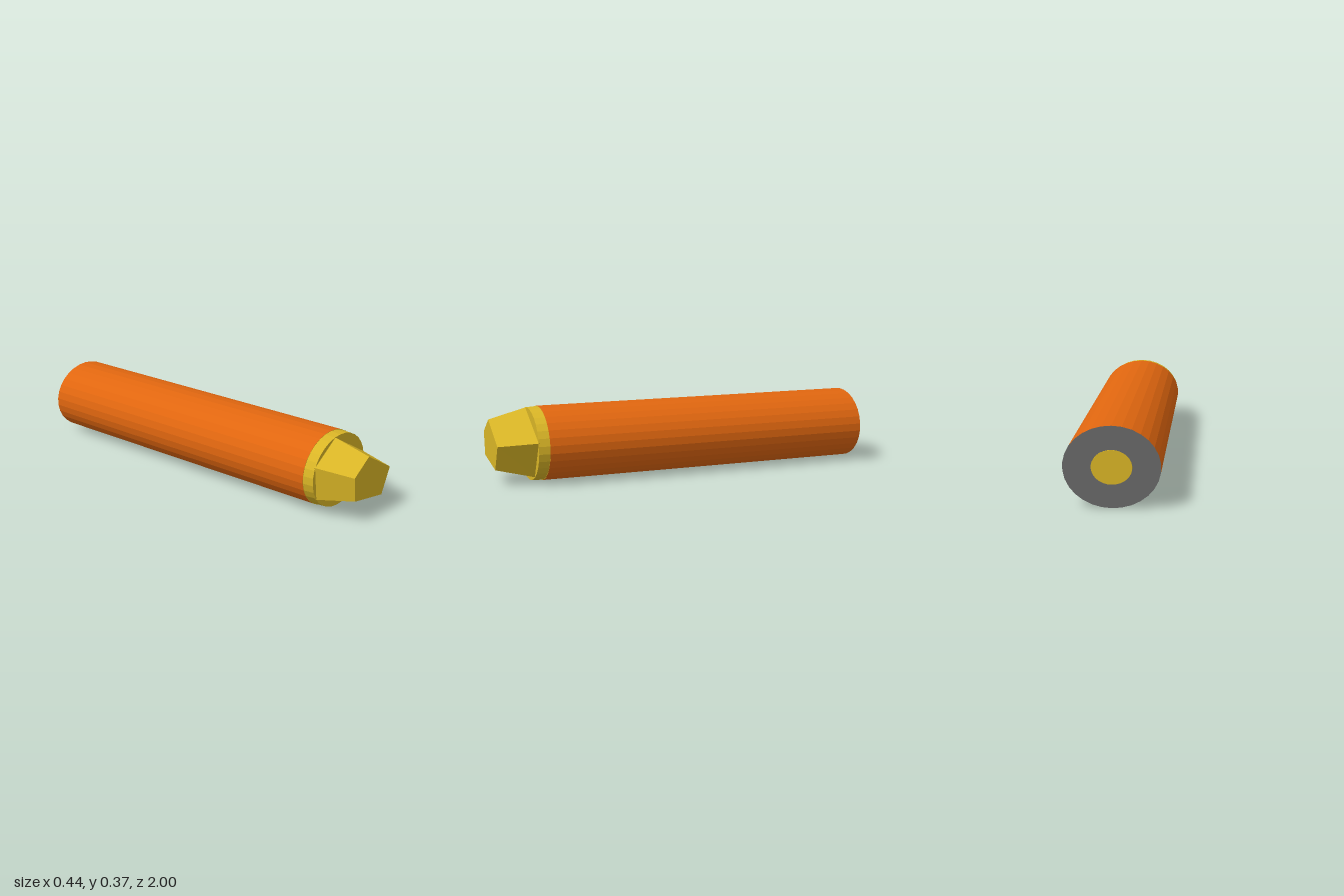
import * as THREE from 'three';

export function createModel() {
  const group = new THREE.Group();
  const mat = (name, color) => new THREE.MeshStandardMaterial({ name, color, flatShading: true });
  const orange = mat('orange', 0xe0660f);
  const gold = mat('gold', 0xd9b526);
  const grey = mat('grey', 0x686868);

  const CY = 0.187, RX = 0.219, RY = 0.187, SIDES = 30;

  // Elliptical cylinder lying along z, from z0 (back) to z1 (front)
  function barrel(name, z0, z1, backScale, frontScale, materials) {
    const g = new THREE.CylinderGeometry(frontScale, backScale, z1 - z0, SIDES);
    g.rotateX(Math.PI / 2);
    g.scale(RX, RY, 1);
    g.translate(0, CY, (z0 + z1) / 2);
    const mesh = new THREE.Mesh(g, materials);
    mesh.name = name;
    group.add(mesh);
  }

  barrel('casing', -0.997, 0.755, 1, 1, [orange, gold, grey]);
  barrel('collar', 0.755, 0.81, 0.99, 0.975, gold);
  barrel('primer', -1, -0.99, 0.42, 0.42, gold);

  // Irregular five-sided tapered tip, corners counter-clockwise from the front
  const base = [[0.21, 0.223], [-0.042, 0.366], [-0.2, 0.257], [-0.18, 0.087], [0.118, 0.037]];
  const end = [[0.152, 0.209], [-0.038, 0.316], [-0.15, 0.24], [-0.136, 0.12], [0.09, 0.083]];
  const pos = [];
  const at = (p, z) => [p[0], p[1], z];
  const tri = (a, b, c) => pos.push(...a, ...b, ...c);
  for (let i = 0; i < 5; i++) {
    const j = (i + 1) % 5;
    const a = at(base[i], 0.805), b = at(base[j], 0.805);
    const c = at(end[j], 1), d = at(end[i], 1);
    tri(a, b, c);
    tri(a, c, d);
    if (i > 0 && i < 4) tri(at(end[0], 1), d, c);
  }
  const tipGeometry = new THREE.BufferGeometry();
  tipGeometry.setAttribute('position', new THREE.Float32BufferAttribute(pos, 3));
  tipGeometry.computeVertexNormals();
  const tip = new THREE.Mesh(tipGeometry, gold);
  tip.name = 'tip';
  group.add(tip);

  return group;
}
